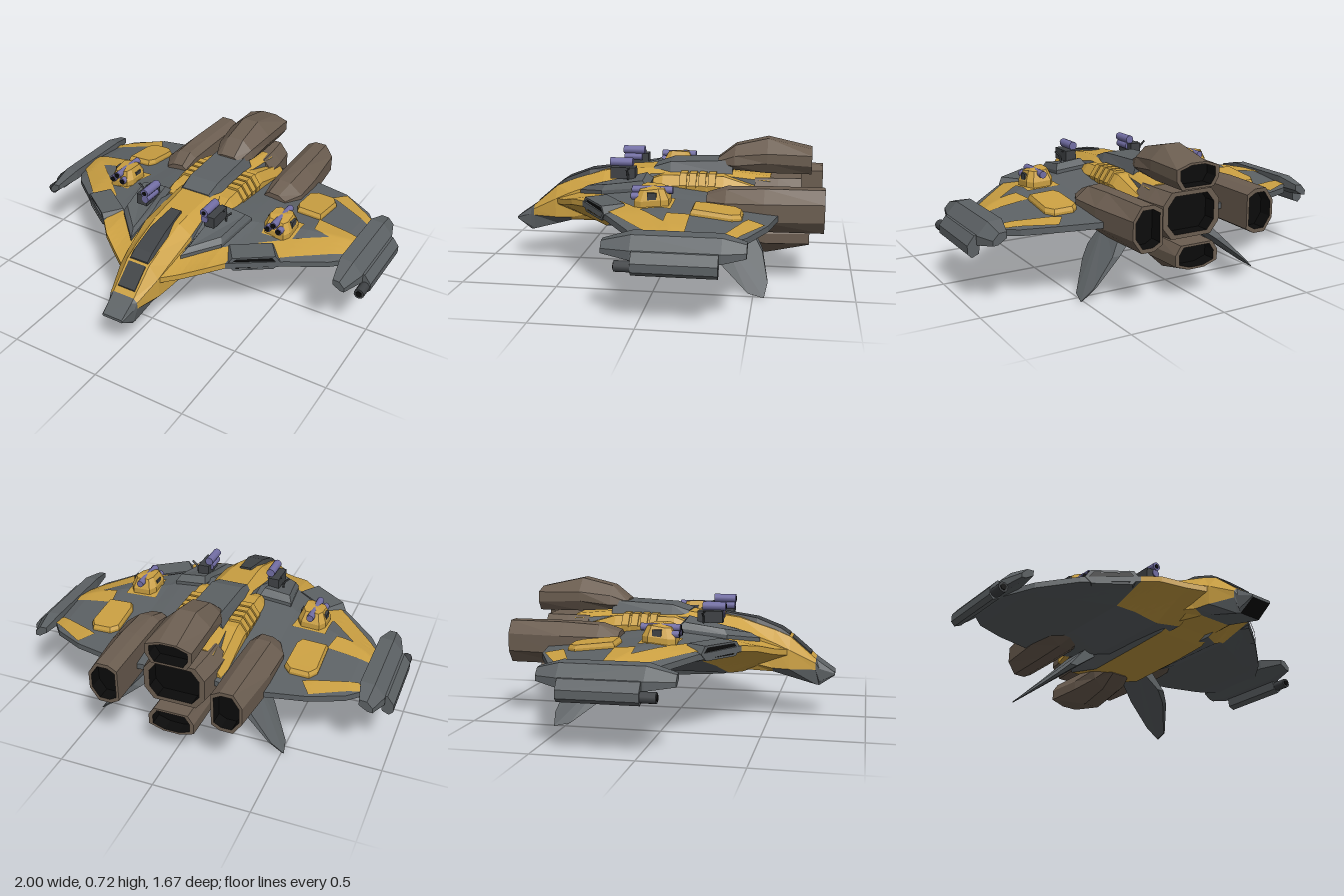
import * as THREE from 'three';

const mat = (name, color) => {
  const m = new THREE.MeshStandardMaterial({ color });
  m.name = name;
  return m;
};
const hull = mat('hull grey', 0x5d6265), yellow = mat('yellow paint', 0xcba042), brown = mat('engine brown', 0x6c5e51);
const purple = mat('gun purple', 0x736fa6), dark = mat('dark grey', 0x404346), black = mat('black', 0x0b0b0b);

// Flat-faced skin over a list of rings; pick(i, j) gives the material of each face
function loft(name, rings, pick) {
  const buckets = new Map();
  const tri = (m, ...pts) => {
    if (!buckets.has(m)) buckets.set(m, []);
    pts.forEach(p => buckets.get(m).push(...p));
  };
  const n = rings[0].length, last = rings.length - 1;
  const at = typeof pick === 'function' ? pick : () => pick;
  for (let i = 0; i < last; i++) for (let j = 0; j < n; j++) {
    const k = (j + 1) % n, a = rings[i][j], b = rings[i][k], c = rings[i + 1][k], d = rings[i + 1][j];
    tri(at(i, j), a, b, c);
    tri(at(i, j), a, c, d);
  }
  for (let j = 1; j < n - 1; j++) {
    tri(at(0, 0), rings[0][0], rings[0][j + 1], rings[0][j]);
    tri(at(last - 1, 0), rings[last][0], rings[last][j], rings[last][j + 1]);
  }
  const geo = new THREE.BufferGeometry(), pos = [], mats = [...buckets.keys()];
  mats.forEach((m, i) => {
    geo.addGroup(pos.length / 3, buckets.get(m).length / 3, i);
    buckets.get(m).forEach(v => pos.push(v));
  });
  geo.setAttribute('position', new THREE.Float32BufferAttribute(pos, 3));
  geo.computeVertexNormals();
  return named(name, geo, mats.length > 1 ? mats : mats[0]);
}
function named(name, geo, m) {
  const mesh = new THREE.Mesh(geo, m);
  mesh.name = name;
  return mesh;
}
function box(name, m, x, y, z, w, h, d) {
  return named(name, new THREE.BoxGeometry(w, h, d).translate(x, y, z), m);
}
function tube(name, m, x, y, z, r, len) {
  return named(name, new THREE.CylinderGeometry(r, r, len, 10).rotateX(Math.PI / 2).translate(x, y, z), m);
}
// Ring across z from right-half points, top to bottom
const sym = (z, half) => [...half.map(([x, y]) => [x, y, z]), ...half.slice().reverse().map(([x, y]) => [-x, y, z])];

// Mirror image of a mesh with its winding corrected
function mirrored(mesh) {
  mesh.updateMatrix();
  let g = mesh.geometry.clone().applyMatrix4(mesh.matrix);
  if (g.index) g = g.toNonIndexed();
  g.scale(-1, 1, 1);
  for (const a of Object.values(g.attributes)) {
    for (let i = 0; i < a.count; i += 3) for (let c = 0; c < a.itemSize; c++) {
      const p = a.getComponent(i + 1, c);
      a.setComponent(i + 1, c, a.getComponent(i + 2, c));
      a.setComponent(i + 2, c, p);
    }
  }
  if (mesh.geometry.type !== 'CylinderGeometry') g.computeVertexNormals();
  return named(mesh.name.replace('left', 'right'), g, mesh.material);
}

// Wing stations: x, zLead, zTrail, yLead, yTop, yTrail, yBottom
const stations = [
  [0.10, 0.60, -0.62, 0.37, 0.515, 0.42, 0.245], [0.20, 0.53, -0.63, 0.39, 0.505, 0.41, 0.255],
  [0.30, 0.46, -0.63, 0.42, 0.49, 0.405, 0.31], [0.37, 0.385, -0.62, 0.43, 0.475, 0.40, 0.345],
  [0.61, 0.205, -0.57, 0.42, 0.453, 0.40, 0.365], [0.78, 0.06, -0.48, 0.39, 0.422, 0.385, 0.355],
  [0.88, -0.08, -0.36, 0.365, 0.39, 0.37, 0.345]];
const lerp = THREE.MathUtils.lerp;
function station(x) {
  let i = 0;
  while (i < stations.length - 2 && x > stations[i + 1][0]) i++;
  const a = stations[i], b = stations[i + 1], f = (x - a[0]) / (b[0] - a[0]);
  return a.map((v, k) => lerp(v, b[k], f));
}
const along = (t, knots) => {
  let i = 0;
  while (i < knots.length - 2 && t > knots[i + 1][0]) i++;
  const [t0, a] = knots[i], [t1, b] = knots[i + 1];
  return lerp(a, b, (t - t0) / (t1 - t0));
};
const topAt = (s, t) => along(t, [[0, s[3]], [0.35, s[4]], [1, s[5]]]);
const bottomAt = (s, t) => along(t, [[0, s[3] - 0.03], [0.2, s[6]], [0.6, s[6]], [1, s[5] - 0.03]]);
function topY(x, z) {
  const s = station(x);
  return topAt(s, THREE.MathUtils.clamp((s[1] - z) / (s[1] - s[2]), 0, 1));
}
const ccw = pts => {
  const area = pts.reduce((sum, p, i) => {
    const q = pts[(i + 1) % pts.length];
    return sum + q[0] * p[1] - p[0] * q[1];
  }, 0);
  return area > 0 ? pts : pts.slice().reverse();
};
// Four-cornered paint plate laid over the wing top
function paint(name, corners, m) {
  // the plane's rows run from its far edge, so v rises from a-b to d-c
  const [a, b, c, d] = ccw(corners), n = 10, geo = new THREE.PlaneGeometry(1, 1, n, n), p = geo.attributes.position;
  for (let i = 0; i < p.count; i++) {
    const u = p.getX(i) + 0.5, v = p.getY(i) + 0.5;
    const x = lerp(lerp(a[0], b[0], u), lerp(d[0], c[0], u), v);
    const z = lerp(lerp(a[1], b[1], u), lerp(d[1], c[1], u), v);
    p.setXYZ(i, x, topY(x, z) + 0.005, z);
  }
  geo.computeVertexNormals();
  return named(name, geo, m);
}
// Bevelled block rising from the wing top
function raised(name, pts, h, inset, m) {
  const o = ccw(pts), cx = o.reduce((s, p) => s + p[0], 0) / o.length, cz = o.reduce((s, p) => s + p[1], 0) / o.length;
  const ring = (k, dy) => o.map(([x, z]) => [lerp(x, cx, k), topY(x, z) + dy, lerp(z, cz, k)]);
  return loft(name, [ring(0, -0.02), ring(0, h * 0.4), ring(inset, h)], m);
}

// Engine with a hollow black nozzle
function engine(name, profile, centreY) {
  const rings = profile.map(([z, half]) => sym(z, half)), end = rings[rings.length - 1];
  const inner = dz => end.map(([x, y, z]) => [x * 0.82, lerp(y, centreY, 0.18), z + dz]);
  rings.push(inner(0), inner(0.07));
  return loft(name, rings, i => i >= profile.length ? black : brown);
}

export function createModel() {
  const model = new THREE.Group();
  model.name = 'spacecraft';
  const add = (...parts) => model.add(...parts);
  const both = (...parts) => parts.forEach(p => add(p, mirrored(p)));

  // Fuselage, nose to tail, with a grey chin and grey flanks
  const body = [
    [0.835, [[0.055, 0.25], [0.06, 0.245], [0.06, 0.238], [0.055, 0.235]]],
    [0.755, [[0.06, 0.305], [0.075, 0.27], [0.07, 0.20], [0.06, 0.18]]],
    [0.735, [[0.06, 0.32], [0.08, 0.30], [0.08, 0.265], [0.065, 0.185]]],
    [0.60, [[0.065, 0.435], [0.115, 0.37], [0.12, 0.27], [0.08, 0.225]]],
    [0.515, [[0.068, 0.47], [0.125, 0.41], [0.13, 0.275], [0.09, 0.25]]],
    [0.33, [[0.07, 0.53], [0.14, 0.48], [0.16, 0.32], [0.13, 0.265]]],
    [0.26, [[0.072, 0.54], [0.135, 0.495], [0.17, 0.32], [0.14, 0.237]]],
    [0.06, [[0.08, 0.555], [0.12, 0.53], [0.19, 0.32], [0.145, 0.225]]],
    [-0.30, [[0.08, 0.555], [0.12, 0.53], [0.19, 0.32], [0.145, 0.213]]],
    [-0.56, [[0.10, 0.53], [0.14, 0.51], [0.17, 0.35], [0.13, 0.28]]]];
  add(loft('fuselage', body.map(([z, h]) => sym(z, h)), (i, j) => {
    if (i < 2) return i === 0 && j === 3 ? black : hull;
    if (i < 4) return j > 1 && j < 5 ? hull : yellow;
    return i > 4 && [1, 2, 4, 5].includes(j) ? hull : yellow;
  }));
  add(loft('canopy', [[0.595, 0.05, 0.068, 0.445, 0.41], [0.55, 0.05, 0.074, 0.475, 0.43],
    [0.42, 0.045, 0.072, 0.525, 0.48], [0.25, 0.03, 0.04, 0.552, 0.52]].map(([z, a, b, y, y2]) => sym(z, [[a, y], [b, y2]])), dark));
  const slope = z => 0.326 + (0.735 - z) * 0.852;
  add(loft('nose window', [0.71, 0.61].map(z => sym(z, [[0.05, slope(z)], [0.05, slope(z) - 0.008]])), dark));
  add(loft('dorsal deck', [[0.06, 0.08, 0.56], [-0.03, 0.085, 0.59], [-0.36, 0.085, 0.605]]
    .map(([z, x, y]) => sym(z, [[x, y], [x + 0.025, 0.53]])), hull));

  // Yellow side ridges with ribs
  both(loft('left ridge', [[0.07, 0.51], [0, 0.535], [-0.32, 0.535], [-0.60, 0.45]].map(([z, y]) =>
    [[0.10, y, z], [0.17, y, z], [0.205, y - 0.05, z], [0.205, y - 0.12, z], [0.10, y - 0.12, z]]), yellow));
  for (const z of [-0.11, -0.16, -0.21, -0.26]) {
    both(loft('left ridge rib', [z + 0.019, z - 0.019].map(q =>
      [[0.11, 0.548, q], [0.172, 0.548, q], [0.212, 0.49, q], [0.205, 0.44, q], [0.11, 0.45, q]]), yellow));
  }

  // Wings
  const xs = [], N = 20;
  stations.slice(0, -1).forEach((s, i) => { for (let k = 0; k < 4; k++) xs.push(lerp(s[0], stations[i + 1][0], k / 4)); });
  xs.push(0.88);
  const wingRings = xs.map(x => {
    const s = station(x), ring = [];
    for (let k = N; k >= 0; k--) ring.push([x, topAt(s, k / N), lerp(s[1], s[2], k / N)]);
    for (let k = 0; k <= N; k++) ring.push([x, bottomAt(s, k / N), lerp(s[1], s[2], k / N)]);
    return ring;
  });
  both(loft('left wing', wingRings, (i, j) => i < 12 && j > N - 4 && j < N + 5 ? yellow : hull));
  both(
    paint('left rear wing stripe', [[0.62, -0.555], [0.565, -0.475], [0.82, -0.36], [0.855, -0.40]], yellow),
    paint('left tip patch', [[0.87, -0.20], [0.61, -0.20], [0.63, -0.09], [0.86, -0.08]], yellow),
    paint('left leading stripe', [[0.86, -0.08], [0.72, -0.09], [0.44, 0.17], [0.52, 0.26]], yellow),
    paint('left turret patch', [[0.39, -0.10], [0.57, -0.10], [0.57, 0.07], [0.42, 0.10]], yellow),
    raised('left wing hatch', [[0.49, -0.445], [0.59, -0.445], [0.62, -0.40], [0.615, -0.20], [0.48, -0.20], [0.46, -0.24], [0.455, -0.41]], 0.03, 0.08, yellow));

  // Slanted intakes sunk into the leading edges
  const hex = (w, h) => [[-w, 0], [-w * 0.8, h], [w * 0.8, h], [w, 0], [w * 0.75, -h], [-w * 0.75, -h]].map(p => new THREE.Vector2(...p));
  const lip = new THREE.Shape(hex(0.135, 0.037));
  lip.holes.push(new THREE.Path(hex(0.115, 0.026)));
  const place = m => { m.position.set(0.415, 0.42, 0.203); m.rotation.y = 0.62; return m; };
  both(place(named('left intake frame', new THREE.ExtrudeGeometry(lip, { depth: 0.12, bevelEnabled: false }), hull)),
    place(named('left intake mouth', new THREE.ExtrudeGeometry(new THREE.Shape(hex(0.12, 0.03)), { depth: 0.112, bevelEnabled: false }), black)));

  // Inner gun housings, twin guns and bent aerials
  both(raised('left gun housing', [[0.15, 0.45], [0.30, 0.30], [0.335, 0.05], [0.16, 0.05]], 0.05, 0.2, hull),
    box('left gun mount', dark, 0.205, 0.55, 0.2, 0.06, 0.06, 0.13),
    tube('left upper gun', purple, 0.18, 0.60, 0.215, 0.023, 0.12),
    tube('left lower gun', purple, 0.18, 0.562, 0.22, 0.021, 0.10),
    tube('left gun muzzle', black, 0.18, 0.60, 0.275, 0.012, 0.006));
  for (const x of [0.225, 0.27]) {
    const path = new THREE.CatmullRomCurve3([[x - 0.02, 0.52], [x - 0.015, 0.55], [x + 0.015, 0.58]].map(([a, b]) => new THREE.Vector3(a, b, 0.17)));
    both(named('left aerial', new THREE.TubeGeometry(path, 4, 0.006, 5), dark));
  }

  // Outer triple-barrel turrets
  both(raised('left turret dome', [[0.41, 0.05], [0.43, 0.085], [0.535, 0.085], [0.555, 0.05], [0.555, -0.05], [0.53, -0.085], [0.435, -0.085], [0.41, -0.05]], 0.085, 0.3, yellow),
    box('left turret brace', dark, 0.483, 0.505, -0.005, 0.14, 0.04, 0.045));
  for (const [x, y, back] of [[0.452, 0.50, -0.04], [0.514, 0.50, -0.04], [0.483, 0.528, -0.1]]) {
    both(tube('left turret barrel', purple, x, y, (0.1 + back) / 2, 0.019, 0.1 - back),
      tube('left turret muzzle', black, x, y, 0.1, 0.014, 0.006));
  }

  // Wing-tip pods with guns
  const pod = (z, x, y, k) => [[-0.06, 0.055], [0.01, 0.05], [0.065, -0.01], [0.065, -0.055], [0.02, -0.05], [-0.06, 0]]
    .map(([a, b]) => [x + a * k, y + b * k, z]);
  both(loft('left tip pod', [pod(0.17, 0.885, 0.355, 0.5), pod(0.03, 0.89, 0.365, 1), pod(-0.38, 0.89, 0.365, 1), pod(-0.49, 0.885, 0.36, 0.55)], hull),
    loft('left tip gun box', [0.02, -0.37].map(z => [[0.93, 0.36, z], [0.965, 0.355, z], [1.0, 0.31, z], [1.0, 0.27, z], [0.98, 0.25, z], [0.945, 0.265, z]]), hull),
    tube('left tip gun', dark, 0.97, 0.288, 0.05, 0.027, 0.09),
    tube('left tip gun bore', black, 0.97, 0.288, 0.096, 0.016, 0.006));

  // Splayed ventral fins, thick at the root and thin at the tip
  const fin = [[-0.285, 0.30], [-0.28, 0.19], [-0.32, 0.135], [-0.475, 0.02], [-0.555, 0.005], [-0.57, 0.065], [-0.535, 0.19], [-0.46, 0.30]];
  const finRing = side => fin.map(([z, y]) => [0.515 - y * 1.1 + side * (0.004 + y * y * 0.5), y, z]);
  both(loft('left ventral fin', [finRing(-1), finRing(1)], hull));

  // Four outer engines around a central one
  const shape = [
    [-0.28, [[0.04, 0.20], [0.07, 0.185], [0.07, 0.17], [0.05, 0.15]]],
    [-0.37, [[0.045, 0.27], [0.10, 0.22], [0.11, 0.17], [0.08, 0.145]]],
    [-0.54, [[0.045, 0.31], [0.12, 0.24], [0.12, 0.19], [0.09, 0.135]]],
    [-0.77, [[0.045, 0.26], [0.12, 0.235], [0.12, 0.18], [0.09, 0.135]]]];
  const sideShape = [
    [-0.25, [[0.04, 0.38], [0.065, 0.34], [0.07, 0.28], [0.05, 0.255]]],
    [-0.35, [[0.045, 0.43], [0.10, 0.36], [0.105, 0.29], [0.08, 0.25]]],
    [-0.54, [[0.045, 0.425], [0.11, 0.36], [0.11, 0.29], [0.085, 0.245]]],
    [-0.838, [[0.045, 0.395], [0.11, 0.35], [0.11, 0.285], [0.085, 0.24]]]];
  ['upper', 'left', 'lower', 'right'].forEach((side, k) => {
    const e = engine(side + ' engine', k % 2 ? sideShape : shape, k % 2 ? 0.315 : 0.2);
    e.rotation.z = -k * Math.PI / 2;
    e.position.y = 0.41;
    add(e);
  });
  add(engine('central engine', [-0.48, -0.60, -0.72].map((z, i) => {
    const w = [0.18, 0.175, 0.16][i];
    return [z, [[w * 0.7, 0.525], [w, 0.465], [w, 0.355], [w * 0.7, 0.295]]];
  }), 0.41));
  return model;
}
